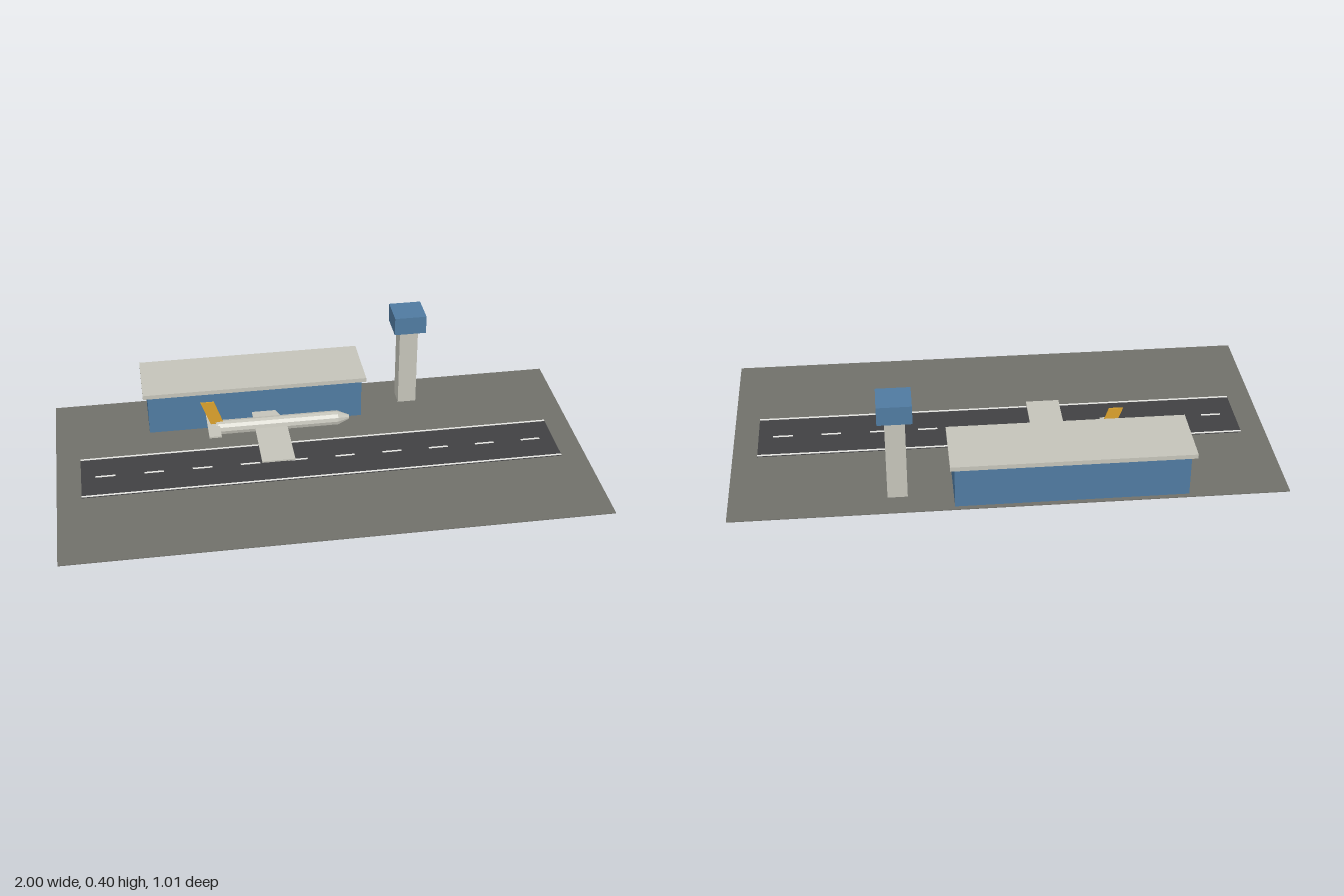
import * as THREE from 'three';

const mat = (name, color) => {
  const m = new THREE.MeshStandardMaterial({ color });
  m.name = name;
  return m;
};

export function createModel() {
  const airport = new THREE.Group();
  airport.name = 'airport';

  const grass = mat('ground grey', 0x70706a);
  const asphalt = mat('asphalt', 0x404042);
  const paint = mat('marking white', 0xe6e6e2);
  const blue = mat('blue', 0x4f7aa0);
  const cream = mat('concrete', 0xc4c3b9);
  const gold = mat('gold', 0xd9a02c);

  const add = (parent, name, geometry, material, x, y, z) => {
    const mesh = new THREE.Mesh(geometry, material);
    mesh.name = name;
    mesh.position.set(x, y, z);
    parent.add(mesh);
    return mesh;
  };
  // Box given by its ranges on each axis
  const box = (parent, name, material, [x0, x1], [y0, y1], [z0, z1]) =>
    add(parent, name, new THREE.BoxGeometry(x1 - x0, y1 - y0, z1 - z0), material,
      (x0 + x1) / 2, (y0 + y1) / 2, (z0 + z1) / 2);
  // Flat panel extruded from an outline
  const panel = (points, depth) => new THREE.ExtrudeGeometry(
    new THREE.Shape(points.map(([x, y]) => new THREE.Vector2(x, y))),
    { depth, bevelEnabled: false });

  // Ground and runway with its markings
  box(airport, 'ground', grass, [-1, 1], [0, 0.003], [-0.507, 0.507]);
  const runway = new THREE.Group();
  runway.name = 'runway';
  airport.add(runway);
  box(runway, 'runwaySurface', asphalt, [-0.909, 0.909], [0.002, 0.005], [-0.125, 0.125]);
  for (const z of [-0.119, 0.119])
    box(runway, 'edgeLine', paint, [-0.909, 0.909], [0.004, 0.0065], [z - 0.004, z + 0.004]);
  for (let i = 0; i < 10; i++) {
    const x = (i - 4.5) * 0.1818;
    box(runway, 'centreDash', paint, [x - 0.037, x + 0.037], [0.004, 0.0065], [-0.004, 0.004]);
  }

  // Terminal
  const terminal = new THREE.Group();
  terminal.name = 'terminal';
  airport.add(terminal);
  box(terminal, 'terminalWalls', blue, [-0.637, 0.2], [0.002, 0.167], [-0.49, -0.272]);
  box(terminal, 'terminalRoof', cream, [-0.655, 0.216], [0.167, 0.184], [-0.507, -0.255]);

  // Control tower
  const tower = new THREE.Group();
  tower.name = 'controlTower';
  airport.add(tower);
  box(tower, 'towerShaft', cream, [0.364, 0.436], [0.002, 0.33], [-0.417, -0.345]);
  box(tower, 'towerCab', blue, [0.338, 0.462], [0.33, 0.402], [-0.443, -0.319]);

  // Airliner, nose towards +x
  const plane = new THREE.Group();
  plane.name = 'airliner';
  plane.position.set(0, 0.06, -0.181);
  airport.add(plane);
  const hull = new THREE.LatheGeometry([
    [0, -0.385], [0.026, -0.385], [0.029, -0.378], [0.029, 0.09],
    [0.009, 0.135], [0, 0.137],
  ].map(([r, h]) => new THREE.Vector2(r, h)), 12).toNonIndexed();
  hull.computeVertexNormals();
  hull.rotateZ(-Math.PI / 2);
  add(plane, 'fuselage', hull, cream, 0, 0, 0);

  box(plane, 'nearWing', cream, [-0.235, -0.11], [-0.006, 0], [0, 0.253]);
  const farWing = panel([[-0.235, 0], [-0.11, 0], [-0.2, 0.253], [-0.235, 0.253]], 0.006);
  farWing.rotateX(-Math.PI / 2);
  add(plane, 'farWing', farWing, cream, 0, -0.006, 0);
  box(plane, 'tailplane', cream, [-0.417, -0.37], [0.014, 0.02], [-0.09, 0.09]);

  const fin = panel([[-0.403, 0.018], [-0.353, 0.018], [-0.388, 0.119], [-0.44, 0.119]], 0.005);
  add(plane, 'tailFin', fin, gold, 0, 0, -0.0025);

  return airport;
}
